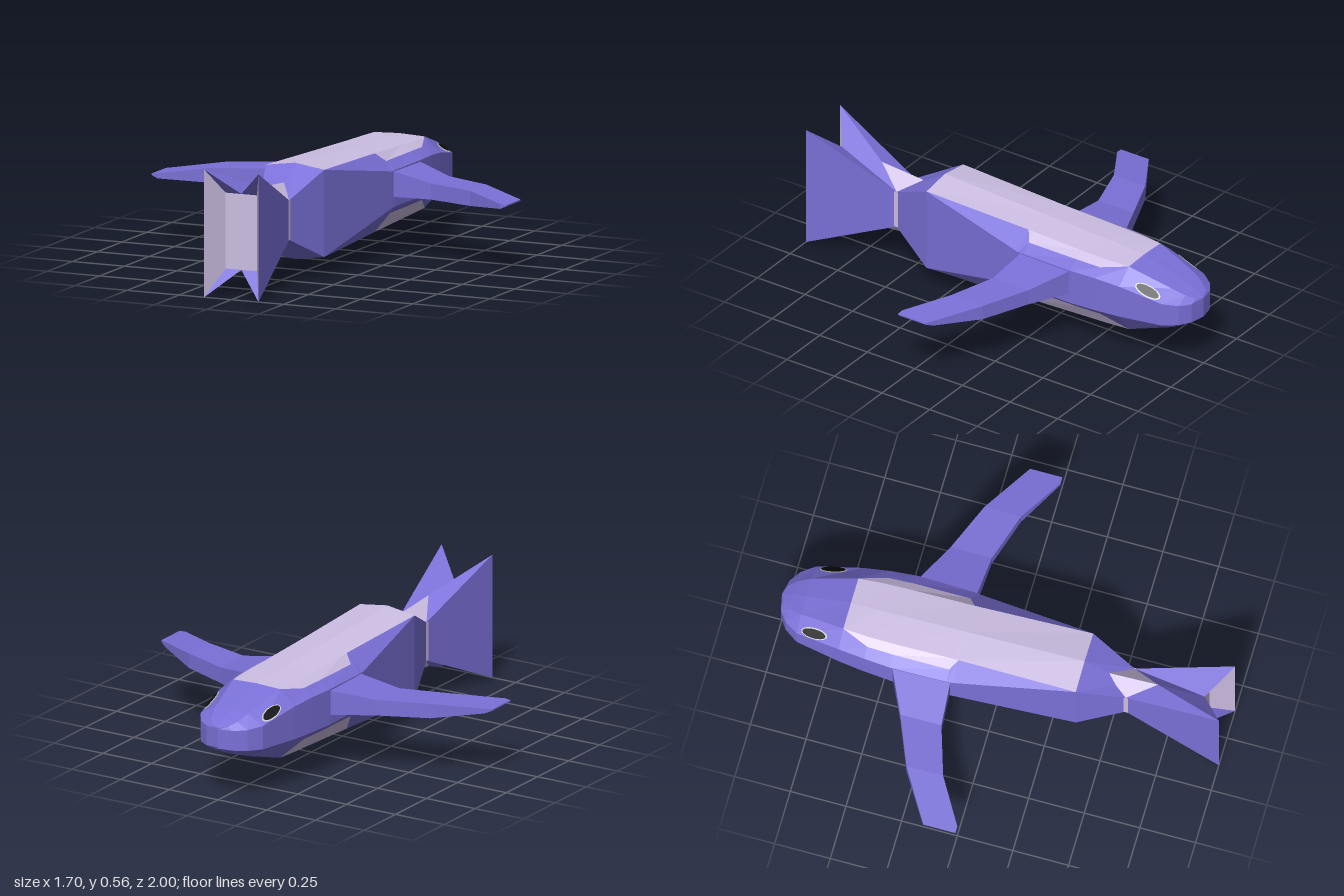
import * as THREE from 'three';

const MID = 0.283; // height of the body's horizontal mirror plane

const paint = (color) => new THREE.MeshStandardMaterial({ color, flatShading: true, side: THREE.DoubleSide });

// Flat-shaded mesh from polygons, mirrored across x = 0 and optionally across y = MID
function panels(name, polys, material, { mirrorX = true, mirrorY = false } = {}) {
  const pos = [];
  for (const sx of mirrorX ? [1, -1] : [1]) {
    for (const sy of mirrorY ? [1, -1] : [1]) {
      for (const poly of polys) {
        const p = poly.map(([x, y, z]) => [x * sx, mirrorY ? MID + y * sy : y, z]);
        if (sx * sy < 0) p.reverse();
        for (let i = 1; i < p.length - 1; i++) pos.push(...p[0], ...p[i], ...p[i + 1]);
      }
    }
  }
  const geo = new THREE.BufferGeometry();
  geo.setAttribute('position', new THREE.Float32BufferAttribute(pos, 3));
  geo.computeVertexNormals();
  const mesh = new THREE.Mesh(geo, material);
  mesh.name = name;
  return mesh;
}

// Body stations: z, top y, flat edge x y, plate edge x y, side x, upper y, lower y, belly plate edge y
const STATIONS = [
  [-1.0, 0.33, 0, 0.33, 0, 0.33, 0, 0.325, 0.24, 0.236],
  [-0.985, 0.34, 0.04, 0.338, 0.04, 0.338, 0.07, 0.325, 0.235, 0.228],
  [-0.95, 0.36, 0.065, 0.355, 0.065, 0.355, 0.12, 0.328, 0.233, 0.211],
  [-0.89, 0.385, 0.085, 0.38, 0.085, 0.38, 0.16, 0.337, 0.23, 0.186],
  [-0.69, 0.445, 0.12, 0.44, 0.12, 0.44, 0.195, 0.375, 0.225, 0.126],
  [-0.57, 0.45, 0.128, 0.442, 0.165, 0.418, 0.21, 0.385, 0.225, 0.185],
  [-0.45, 0.455, 0.13, 0.445, 0.17, 0.42, 0.22, 0.387, 0.225, 0.185],
  [-0.2, 0.467, 0.13, 0.455, 0.17, 0.42, 0.215, 0.385, 0.225, 0.185],
  [-0.17, 0.469, 0.13, 0.456, 0.13, 0.456, 0.212, 0.383, 0.22, 0.11],
  [0.36, 0.495, 0.14, 0.475, 0.14, 0.475, 0.14, 0.475, 0.091, 0.091],
  [0.565, 0.37, 0.07, 0.37, 0.07, 0.37, 0.07, 0.37, 0.196, 0.196],
];

function halfRing([z, top, xa, ya, xe, ye, xs, yu, yl, yb]) {
  return [[0, top], [xa, ya], [xe, ye], [xs, yu], [xs, yl], [xe, yb], [xa, 2 * MID - ya], [0, 2 * MID - top]]
    .map(([x, y]) => [x, y, z]);
}

export function createModel() {
  const model = new THREE.Group();
  model.name = 'finnedCreature';
  const skin = paint(0x7a70d8);
  const pale = paint(0xcdbfe4);
  const black = paint(0x0a0a0a);
  const white = paint(0xf2f2f2);

  // Body with pale back and belly plates
  const rings = STATIONS.map(halfRing);
  const skinPolys = [];
  const platePolys = [];
  for (let i = 0; i < rings.length - 1; i++) {
    for (let j = 0; j < 7; j++) {
      const plated = i >= 4 && i <= 8 && (j < 2 || j > 4);
      (plated ? platePolys : skinPolys).push([rings[i][j], rings[i + 1][j], rings[i + 1][j + 1], rings[i][j + 1]]);
    }
  }
  model.add(panels('body', skinPolys, skin), panels('backAndBellyPlates', platePolys, pale));

  // Tail: quarter panels, y measured from the mid plane
  const root = [0.07, 0.087, 0.565];
  const ridge = [0, 0.162, 0.69];
  const notch = [0, 0.167, 0.9];
  const tip = [0.13, 0.281, 1];
  const inner = [0.075, 0.167, 0.9];
  const both = { mirrorY: true };
  model.add(
    panels('tailFin', [
      [[0.07, 0, 0.565], root, tip, [0.13, 0, 1]],
      [root, ridge, notch, tip],
      [tip, notch, inner],
    ], skin, both),
    panels('tailRecess', [
      [[0.13, 0, 1], tip, inner, [0.075, 0, 0.9]],
      [[0.075, 0, 0.9], inner, notch, [0, 0, 0.9]],
    ], pale, both),
    panels('tailRidge', [[[0, 0.142, 0.44], ridge, root]], pale, both),
  );
  const band = new THREE.Mesh(new THREE.BoxGeometry(0.146, 0.174, 0.022), pale);
  band.name = 'tailBand';
  band.position.set(0, MID, 0.565);
  model.add(band);

  // Flippers: x, leading z, trailing z, top y, bottom y
  const flipper = [
    [0.19, -0.455, -0.185, 0.385, 0.268],
    [0.4, -0.355, -0.17, 0.345, 0.274],
    [0.62, -0.265, -0.1, 0.342, 0.276],
    [0.82, -0.143, 0.02, 0.322, 0.3],
    [0.85, -0.125, 0.02, 0.319, 0.313],
  ].map(([x, z0, z1, t, b]) => [[x, t, z0], [x, t, z1], [x, b, z1], [x, b, z0]]);
  const flipperPolys = [];
  const tipPolys = [];
  for (let i = 0; i < 4; i++) {
    for (let k = 0; k < 4; k++) {
      const n = (k + 1) % 4;
      const quad = [flipper[i][k], flipper[i][n], flipper[i + 1][n], flipper[i + 1][k]];
      (i === 3 && k === 2 ? tipPolys : flipperPolys).push(quad);
    }
  }
  flipperPolys.push([...flipper[4]].reverse());
  model.add(panels('flippers', flipperPolys, skin), panels('flipperTips', tipPolys, pale));

  // Eyes: flat ovals lying on the sloped sides of the head
  for (const side of [1, -1]) {
    const eye = new THREE.Group();
    eye.name = side > 0 ? 'leftEye' : 'rightEye';
    const along = new THREE.Vector3(side * 0.1, 0.3, 1).normalize();
    const out = new THREE.Vector3(side * 0.6, 0.78, 0);
    out.addScaledVector(along, -out.dot(along)).normalize();
    const across = new THREE.Vector3().crossVectors(along, out);
    eye.quaternion.setFromRotationMatrix(new THREE.Matrix4().makeBasis(across, along, out));
    eye.position.set(side * 0.15, 0.369, -0.81).addScaledVector(out, 0.005);
    [['eyeRim', 0.026, 0.063, 0, white], ['pupil', 0.021, 0.056, 0.003, black]].forEach(([name, w, l, lift, mat]) => {
      const disc = new THREE.Mesh(new THREE.CircleGeometry(1, 20), mat);
      disc.name = name;
      disc.scale.set(w, l, 1);
      disc.position.z = lift;
      eye.add(disc);
    });
    model.add(eye);
  }
  return model;
}
